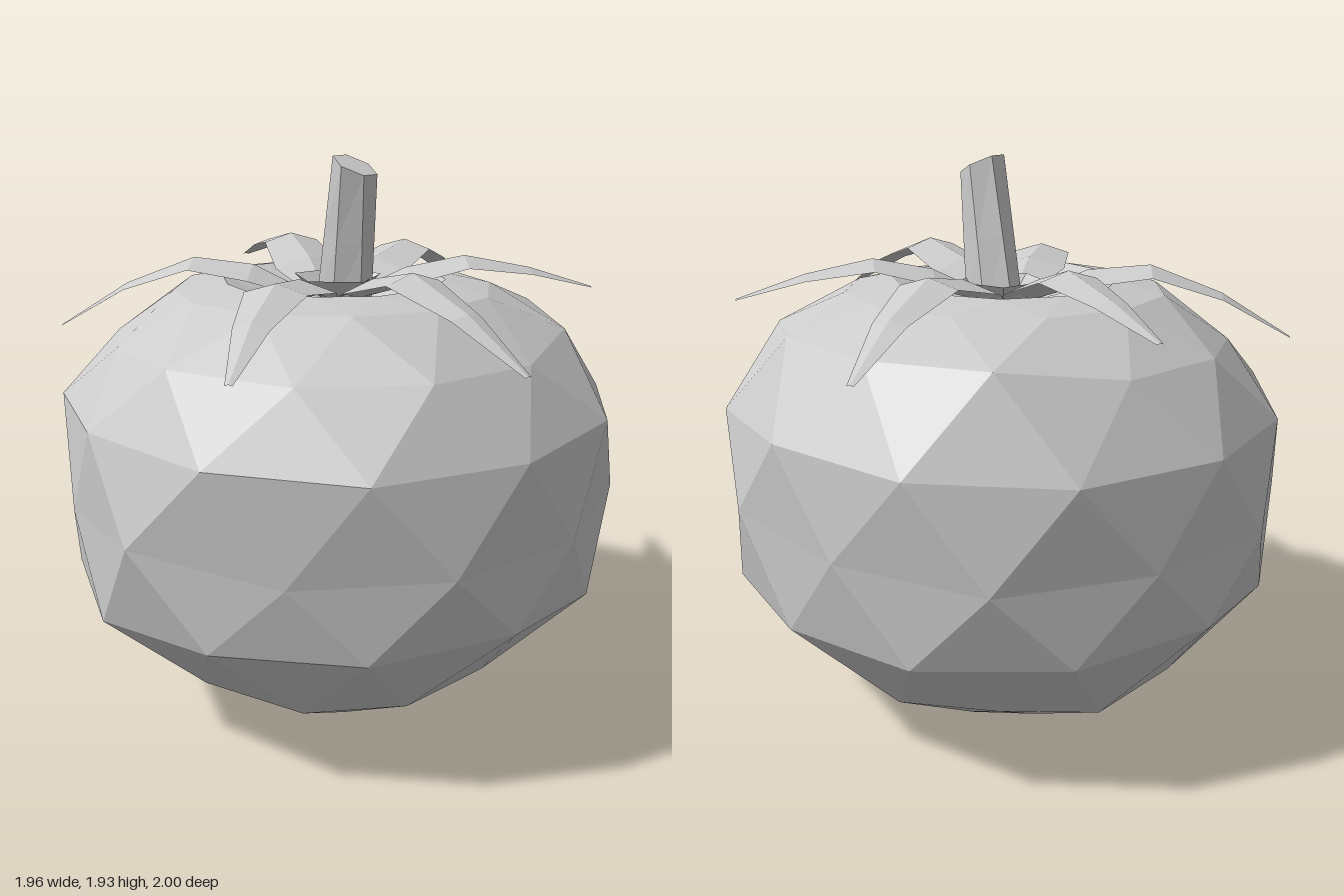
import * as THREE from 'three';

const material = new THREE.MeshStandardMaterial({ color: 0xcccccc, flatShading: true });
const thinMaterial = new THREE.MeshStandardMaterial({ color: 0xcccccc, flatShading: true, side: THREE.DoubleSide });

function makeMesh(name, points, faces, mat) {
  let g = new THREE.BufferGeometry();
  g.setAttribute('position', new THREE.Float32BufferAttribute(points.flat(), 3));
  g.setIndex(faces.flat());
  g = g.toNonIndexed();
  g.computeVertexNormals();
  const mesh = new THREE.Mesh(g, mat);
  mesh.name = name;
  return mesh;
}

// Faceted fruit: staggered rings, slightly uneven, with a dimple on top
function createFruit() {
  const rings = [[0, 0], [0.035, 0.4], [0.2, 0.68], [0.5, 0.965], [0.79, 1.0], [1.1, 0.985],
    [1.35, 0.81], [1.485, 0.57], [1.515, 0.4], [1.41, 0.16], [1.4, 0]];
  const outline = [1.0, 0.94, 0.99, 0.98, 1.0, 0.99, 0.97, 1.0, 0.98, 0.975, 0.955, 0.93];
  const n = outline.length;
  let seed = 7;
  const jitter = (size) => {
    seed = (seed * 16807) % 2147483647;
    return (seed / 2147483647 - 0.5) * size;
  };
  const points = [], faces = [];
  rings.forEach(([y, r], i) => {
    for (let j = 0; j < n; j++) {
      const odd = i % 2;
      const a = ((j + odd * 0.5) / n) * Math.PI * 2;
      const spread = odd ? (outline[j] + outline[(j + 1) % n]) / 2 : outline[j];
      const sides = i > 1 && i < 7;
      const radius = r * spread * (1 + (sides && i !== 4 ? jitter(0.02) : 0));
      points.push([Math.sin(a) * radius, y + (sides ? jitter(0.08) : 0), Math.cos(a) * radius]);
    }
  });
  for (let i = 0; i < rings.length - 1; i++) {
    for (let j = 0; j < n; j++) {
      const k = (j + 1) % n;
      const a = i * n + j, b = i * n + k, c = a + n, d = b + n;
      const low = i % 2 ? [a, b, d] : [a, b, c];
      const high = i % 2 ? [a, d, c] : [b, d, c];
      if (rings[i][1] > 0) faces.push(low);
      if (rings[i + 1][1] > 0) faces.push(high);
    }
  }
  return makeMesh('fruit', points, faces, material);
}

// Pointed, arched sepal with a raised midrib and a slight sideways bow
function createSepal([x, tipY, z, peak]) {
  const length = Math.hypot(x, z), dx = x / length, dz = z / length;
  const sections = [
    [0.1, 1.47, 0.06],
    [0.28, 1.55, 0.13],
    [0.5, peak, 0.105],
    [0.75, peak + (tipY - peak) * 0.38, 0.06],
    [1, tipY, 0.012],
  ];
  const points = [], faces = [];
  sections.forEach(([t, y, w], i) => {
    const bow = 0.03 * Math.sin(Math.PI * t);
    for (const s of [-1, 0, 1]) {
      const side = w * s - bow;
      points.push([x * t + dz * side, y - Math.abs(s) * w * 0.3, z * t - dx * side]);
    }
    if (i > 0) {
      for (let s = 0; s < 2; s++) {
        const a = (i - 1) * 3 + s, b = a + 1, c = a + 3, d = a + 4;
        faces.push([a, b, d], [a, d, c]);
      }
    }
  });
  return makeMesh('sepal', points, faces, thinMaterial);
}

// Leaning six-sided stem, flared sideways at the foot, with a slanted cut
function createStem() {
  const g = new THREE.CylinderGeometry(0.075, 0.075, 1, 6, 2);
  const p = g.attributes.position;
  for (let i = 0; i < p.count; i++) {
    const t = p.getY(i) + 0.5, x = p.getX(i), z = p.getZ(i);
    const flare = 1.5 - 0.5 * t;
    p.setXYZ(i, x * flare + 0.02 + 0.085 * t, 1.4 + 0.5 * t - x * 0.45 * t, z * (0.85 + 0.15 * t) - 0.05 + 0.05 * t);
  }
  g.computeVertexNormals();
  const mesh = new THREE.Mesh(g, material);
  mesh.name = 'stem';
  return mesh;
}

export function createModel() {
  const model = new THREE.Group();
  model.name = 'tomato';
  model.add(createFruit(), createStem());

  // Calyx: a small cup and six sepals, each given as tip x, y, z and arch height
  const calyx = new THREE.Group();
  calyx.name = 'calyx';
  const cup = new THREE.Mesh(new THREE.CylinderGeometry(0.16, 0.08, 0.07, 5, 1, true), thinMaterial);
  cup.name = 'calyxCup';
  cup.position.set(0, 1.48, -0.04);
  calyx.add(cup);
  const tips = [
    [-0.13, 1.37, -1.0, 1.59], [0.68, 1.47, -0.63, 1.59], [0.95, 1.37, 0.3, 1.6],
    [0.34, 1.37, 0.89, 1.57], [-0.85, 1.32, 0.49, 1.57], [-0.81, 1.47, -0.46, 1.61],
  ];
  tips.forEach((tip) => calyx.add(createSepal(tip)));
  model.add(calyx);
  return model;
}
